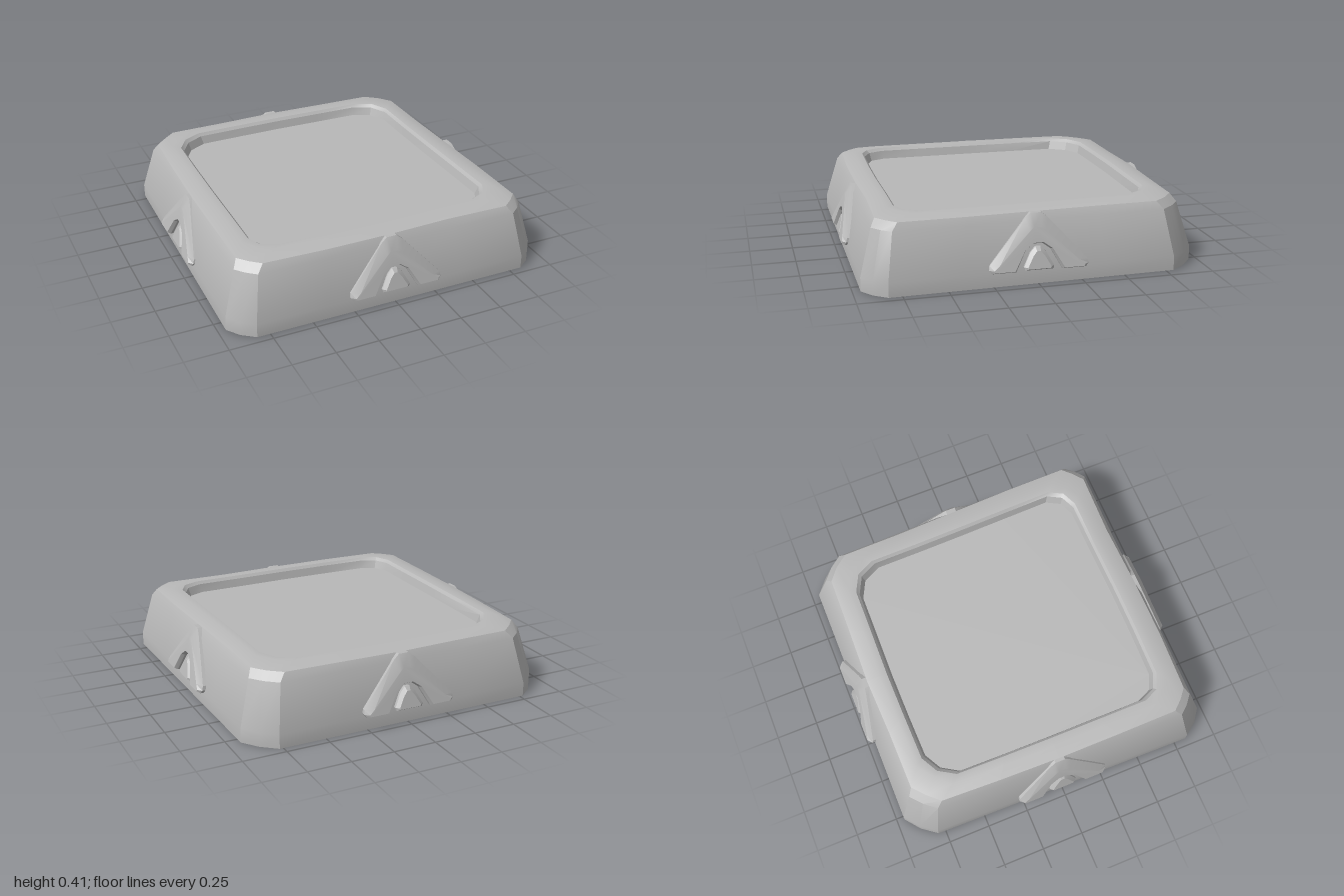
import * as THREE from 'three';
import { toCreasedNormals } from 'three/addons/utils/BufferGeometryUtils.js';

const stone = new THREE.MeshStandardMaterial({ color: 0xb8b8b8 });
stone.name = 'grey stone';

// Square loop with cut corners; the block narrows a little to the back and wobbles as if hewn.
function ring({ half, cut, bulge, y, wobble = 0 }) {
  const points = [];
  for (let side = 0; side < 4; side++) {
    const c = cut + (side === 1 || side === 2 ? 0.03 : 0);
    const before = cut + (side === 2 || side === 3 ? 0.03 : 0);
    const a = half - before, b = half - c;
    const local = [-a, -a / 2, 0, b / 2, b].map((u) => [u, half]);
    local.push([half - c / 2 + bulge, half - c / 2 + bulge]);
    for (const [u, v] of local) {
      const p = new THREE.Vector3(u, y, v).applyAxisAngle(new THREE.Vector3(0, 1, 0), side * Math.PI / 2);
      const dent = 1 + wobble * Math.sin(5 * p.x + 3 * p.z + side * 2);
      const taper = 1 - 0.03 * THREE.MathUtils.clamp((0.8 - p.z) / 1.6, 0, 1);
      points.push(new THREE.Vector3(p.x * dent * taper, y, p.z * dent));
    }
  }
  return points;
}

// Joins closed loops of equal length into one skin.
function loft(loops, addCaps) {
  const n = loops[0].length, index = [];
  const points = loops.flat();
  for (let i = 0; i < loops.length - 1; i++) {
    for (let j = 0; j < n; j++) {
      const k = (j + 1) % n, a = i * n, b = a + n;
      index.push(a + j, a + k, b + k, a + j, b + k, b + j);
    }
  }
  addCaps(index, n, (loops.length - 1) * n);
  const geometry = new THREE.BufferGeometry().setFromPoints(points);
  geometry.setIndex(index);
  return geometry;
}

function slabGeometry() {
  const profile = [
    { half: 0.955, cut: 0.13, bulge: 0.01, y: 0 },
    { half: 0.955, cut: 0.13, bulge: 0.01, y: 0.08 },
    { half: 0.885, cut: 0.1, bulge: 0.005, y: 0.34, wobble: 0.006 },
    { half: 0.86, cut: 0.11, bulge: 0.005, y: 0.383, wobble: 0.01 },
    { half: 0.785, cut: 0.13, bulge: 0.01, y: 0.405, wobble: 0.01 },
    { half: 0.74, cut: 0.13, bulge: 0.025, y: 0.402, wobble: 0.006 },
    { half: 0.725, cut: 0.13, bulge: 0.025, y: 0.385, wobble: 0.006 },
    { half: 0.712, cut: 0.13, bulge: 0.025, y: 0.335, wobble: 0.006 },
  ];
  // Underside and sunken floor close the skin.
  const geometry = loft(profile.map(ring), (index, n, last) => {
    for (let j = 1; j < n - 1; j++) {
      index.push(0, j + 1, j, last, last + j, last + j + 1);
    }
  });
  return toCreasedNormals(geometry, 0.45);
}

// Raised plate lying on the sloping wall: outline on the wall, smaller outline on its face.
function plateGeometry(halfOutline, halfFace, depth) {
  const mirror = (pts) => [...pts, ...pts.slice().reverse().map(([x, y]) => [-x, y])];
  const wall = (y) => 0.955 - 0.265 * (y - 0.08);
  const outline = mirror(halfOutline), face = mirror(halfFace);
  const place = (pts, d) => pts.map(([x, y]) => new THREE.Vector3(x, y, wall(y) + d)).reverse();
  const loops = [place(outline, -0.03), place(outline, depth * 0.35), place(face, depth)];
  const flat = loops[2].map((p) => new THREE.Vector2(p.x, p.y));
  const geometry = loft(loops, (index, n, last) => {
    for (const [a, b, c] of THREE.ShapeUtils.triangulateShape(flat, [])) {
      index.push(last + a, last + b, last + c);
    }
  });
  return toCreasedNormals(geometry, 0.4);
}

export function createModel() {
  const model = new THREE.Group();
  model.name = 'stoneBase';
  const add = (parent, name, geometry) => {
    const mesh = new THREE.Mesh(geometry, stone);
    mesh.name = name;
    parent.add(mesh);
  };
  add(model, 'slab', slabGeometry());

  // Chevron with a small arrowhead inside, one on each side
  const chevron = plateGeometry(
    [[0.03, 0.383], [0.065, 0.355], [0.275, 0.125], [0.28, 0.1], [0.265, 0.08], [0.13, 0.08], [0.07, 0.19], [0.025, 0.222]],
    [[0.02, 0.315], [0.045, 0.295], [0.225, 0.125], [0.255, 0.1], [0.25, 0.09], [0.14, 0.09], [0.077, 0.197], [0.027, 0.232]],
    0.034);
  const arrowhead = plateGeometry(
    [[0.015, 0.205], [0.045, 0.175], [0.085, 0.1], [0.08, 0.083]],
    [[0.01, 0.185], [0.032, 0.16], [0.066, 0.1], [0.062, 0.092]],
    0.026);
  ['front', 'left', 'back', 'right'].forEach((side, i) => {
    const ornament = new THREE.Group();
    ornament.name = side + 'Ornament';
    add(ornament, 'chevron', chevron);
    add(ornament, 'arrowhead', arrowhead);
    ornament.rotation.y = i * Math.PI / 2;
    // The flanks sit slightly further in than the front and back.
    if (side === 'left') ornament.position.x = -0.012;
    if (side === 'right') ornament.position.x = 0.012;
    if (side === 'back') ornament.position.z = -0.008;
    model.add(ornament);
  });
  return model;
}
